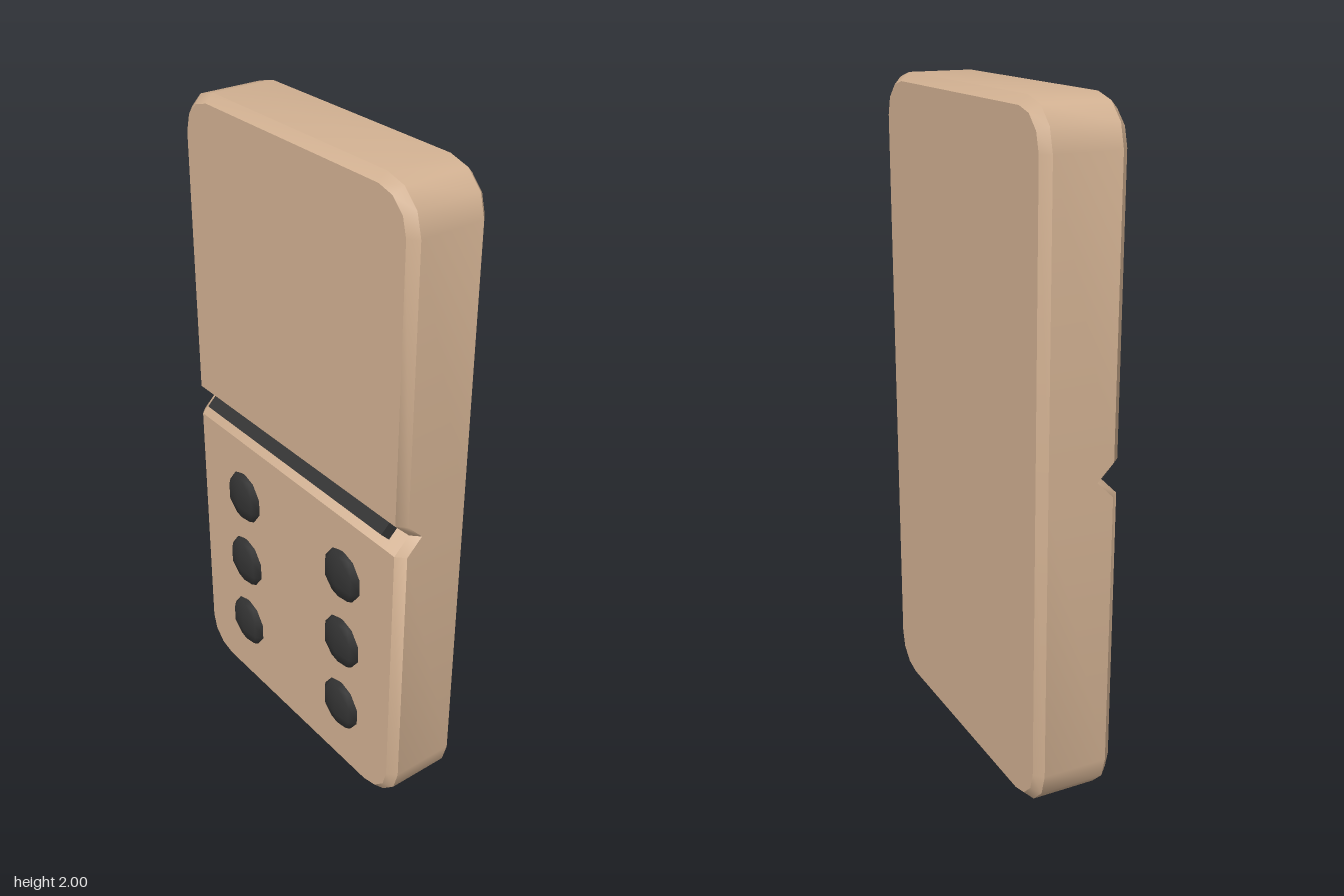
import * as THREE from 'three';
import { toCreasedNormals } from 'three/addons/utils/BufferGeometryUtils.js';

const tan = new THREE.MeshStandardMaterial({ name: 'tan', color: 0xd2b192 });
const black = new THREE.MeshStandardMaterial({ name: 'black', color: 0x333333 });

// Right half of the rounded outline, bottom to top, with extra rows at the groove
function halfOutline(radius) {
  const pts = [];
  const corner = (cy, start) => {
    for (let k = 0; k <= 3; k++) {
      const a = start + (k * Math.PI) / 6;
      pts.push([0.37 + radius * Math.cos(a), cy + radius * Math.sin(a)]);
    }
  };
  corner(0.13, -Math.PI / 2);
  for (const y of [0.95, 1, 1.05]) pts.push([0.37 + radius, y]);
  corner(1.87, 0);
  return pts;
}

// Closed counter-clockwise ring at depth z; the groove pushes its middle row back
function ring(radius, z, groove) {
  const half = halfOutline(radius);
  const left = half.map(([x, y]) => [-x, y]).reverse();
  return [...half, ...left].map(([x, y]) => [x, y, z - Math.max(0, groove - Math.abs(y - 1))]);
}

// Chamfered tile with a V groove across its front
function tileGeometry() {
  const rings = [
    ring(0.105, -0.137, 0),
    ring(0.13, -0.112, 0),
    ring(0.13, 0.086, 0.05),
    ring(0.105, 0.111, 0.05),
  ];
  const count = rings[0].length;
  const index = [];
  const quad = (a, b, c, d) => index.push(a, b, c, a, c, d);
  for (let l = 0; l < 3; l++) {
    for (let i = 0; i < count; i++) {
      const j = (i + 1) % count;
      quad(l * count + i, l * count + j, (l + 1) * count + j, (l + 1) * count + i);
    }
  }
  // Front and back faces, in rows joining left and right
  const front = 3 * count;
  for (let i = 0; i < count / 2 - 1; i++) {
    const l = count - 1 - i;
    quad(front + l, front + i, front + i + 1, front + l - 1);
    quad(i, l, l - 1, i + 1);
  }
  const geo = new THREE.BufferGeometry();
  geo.setAttribute('position', new THREE.Float32BufferAttribute(rings.flat(2), 3));
  geo.setIndex(index);
  return toCreasedNormals(geo, 0.65);
}

export function createModel() {
  const model = new THREE.Group();
  model.name = 'domino';

  const tile = new THREE.Mesh(tileGeometry(), tan);
  tile.name = 'tile';
  model.add(tile);

  // Square bar lying on edge in the groove
  const bar = new THREE.Mesh(new THREE.BoxGeometry(0.856, 0.04, 0.04), black);
  bar.name = 'dividerBar';
  bar.rotation.x = Math.PI / 4;
  bar.position.set(0, 1, 0.091);
  model.add(bar);

  // Six flattened low-poly pips
  const pipGeo = new THREE.SphereGeometry(0.0885, 8, 5);
  const pips = new THREE.Group();
  pips.name = 'pips';
  for (const x of [-0.25, 0.25]) {
    for (const y of [0.25, 0.5, 0.75]) {
      const pip = new THREE.Mesh(pipGeo, black);
      pip.name = 'pip';
      pip.scale.z = 0.36;
      pip.position.set(x, y, 0.107);
      pips.add(pip);
    }
  }
  model.add(pips);
  return model;
}
